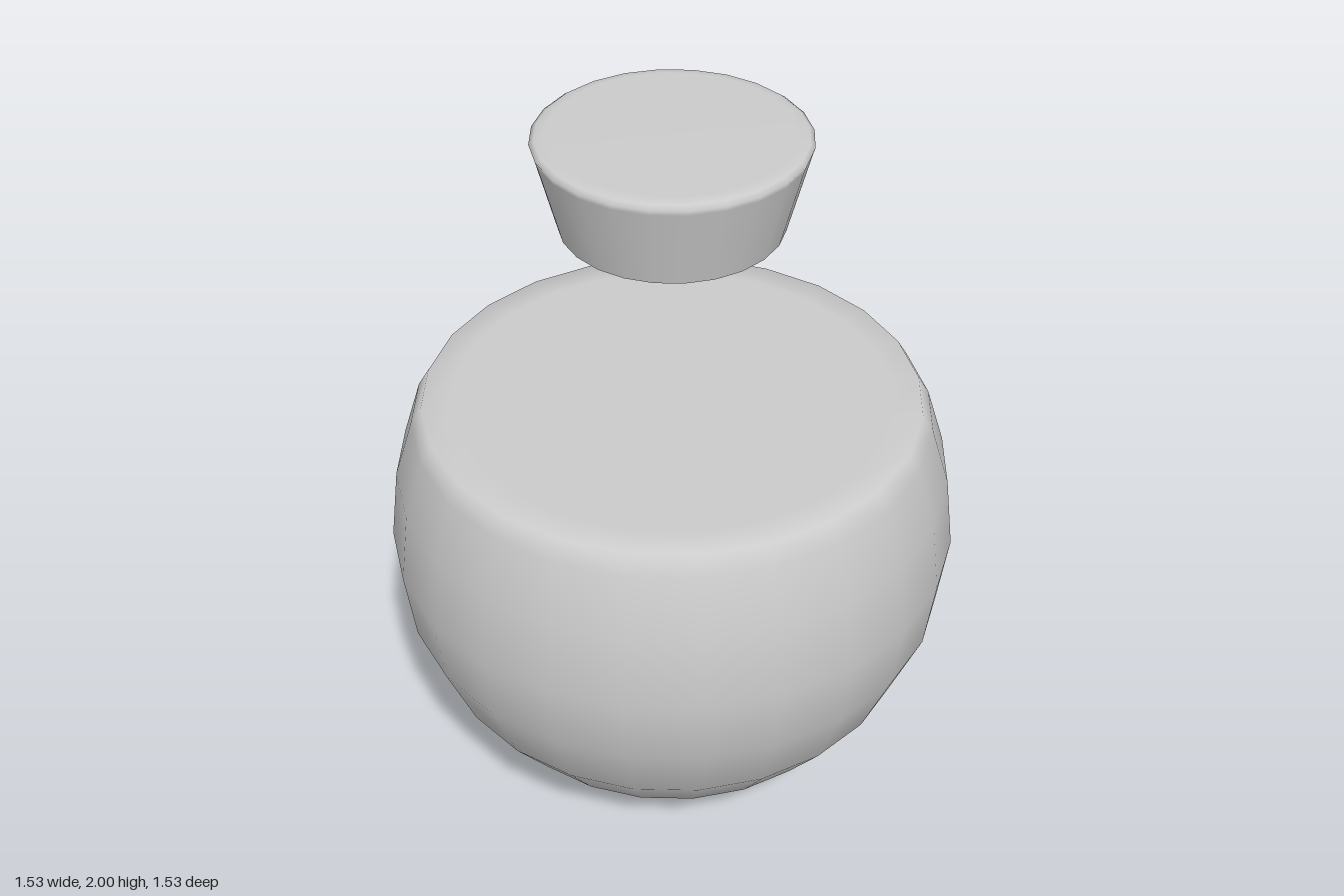
import * as THREE from 'three';

const SIDES = 24;

// Smooth surface of revolution from [radius, height] pairs, bottom to top
function turned(name, profile) {
  const points = profile.map(([r, y]) => new THREE.Vector2(r, y));
  const material = new THREE.MeshStandardMaterial({ color: 0xcccccc, side: THREE.DoubleSide });
  const mesh = new THREE.Mesh(new THREE.LatheGeometry(points, SIDES), material);
  mesh.name = name;
  return mesh;
}

export function createModel() {
  const model = new THREE.Group();
  model.name = 'bowlAndStopper';

  // Rounded bowl, closed by a flat top with a soft rim
  model.add(turned('bowl', [
    [0, 0], [0.24, 0.055], [0.395, 0.13], [0.545, 0.255], [0.66, 0.41],
    [0.74, 0.61], [0.765, 0.81], [0.74, 1.015], [0.69, 1.175],
    [0.66, 1.225], [0.58, 1.225], [0, 1.225],
  ]));

  // Tapered stopper floating above, hollow and open underneath
  model.add(turned('stopper', [
    [0.285, 1.75], [0.342, 1.97], [0.347, 1.985], [0.335, 1.994],
    [0.305, 2], [0, 2],
  ]));

  return model;
}
